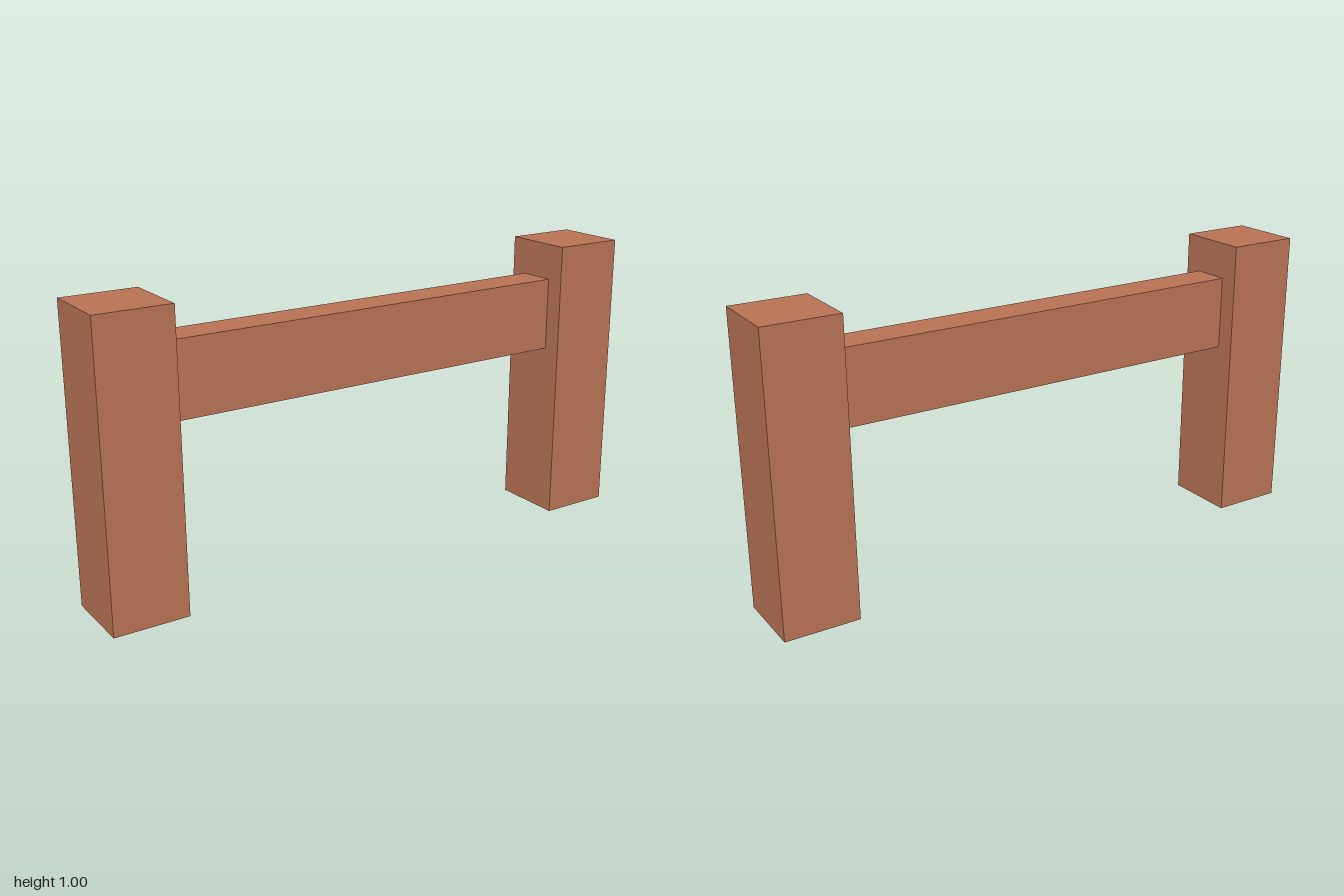
import * as THREE from 'three';

export function createModel() {
  const model = new THREE.Group();
  model.name = 'postAndRailFence';

  const wood = new THREE.MeshStandardMaterial({ color: 0xb87355 });
  wood.name = 'reddish brown wood';

  const postWidth = 0.255;
  const innerX = 1 - postWidth;

  function addBox(name, width, height, depth, x, y) {
    const mesh = new THREE.Mesh(new THREE.BoxGeometry(width, height, depth), wood);
    mesh.name = name;
    mesh.position.set(x, y, 0);
    model.add(mesh);
  }

  // Square posts, one at each end
  for (const side of [-1, 1]) {
    addBox(side > 0 ? 'leftPost' : 'rightPost', postWidth, 1, postWidth, side * (1 - postWidth / 2), 0.5);
  }

  // Thinner rail spanning between the posts
  addBox('rail', innerX * 2, 0.255, 0.1275, 0, 0.7475);

  return model;
}
